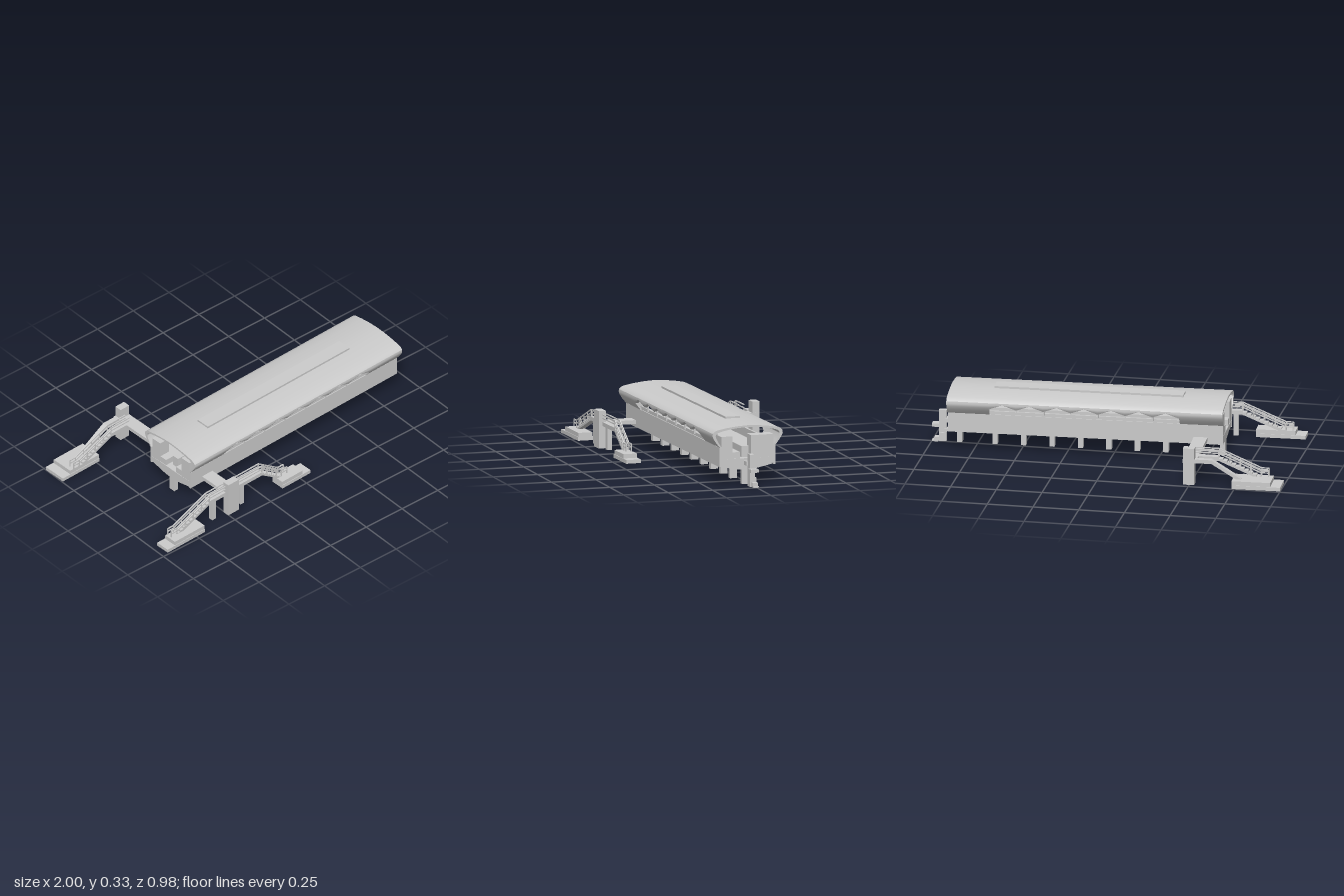
import * as THREE from 'three';
import { toCreasedNormals } from 'three/addons/utils/BufferGeometryUtils.js';

const mat = new THREE.MeshStandardMaterial({ color: 0xcccccc, side: THREE.DoubleSide });
const CX = 0.143, CZ = 0.056, HALF = 0.75; // hall centre and half length

function add(parent, name, geo) {
  const m = new THREE.Mesh(geo, mat);
  m.name = name;
  parent.add(m);
  return m;
}

// Box given by its extents
function box(parent, name, x0, x1, y0, y1, z0, z1) {
  const m = add(parent, name, new THREE.BoxGeometry(x1 - x0, y1 - y0, z1 - z0));
  m.position.set((x0 + x1) / 2, (y0 + y1) / 2, (z0 + z1) / 2);
  return m;
}

// Outline extruded along z between z0 and z1
function plate(parent, name, pts, z0, z1) {
  const shape = new THREE.Shape(pts.map(p => new THREE.Vector2(...p)));
  const geo = new THREE.ExtrudeGeometry(shape, { depth: z1 - z0, bevelEnabled: false });
  geo.translate(0, 0, z0);
  return add(parent, name, geo);
}

// Half roof profile clipped at height b, from the ridge to the eave
function clip(pts, b) {
  return pts.map(([z, y], i) => {
    if (y >= b) return [z, y];
    for (let k = 1; k <= i; k++) {
      const [z0, y0] = pts[k - 1], [z1, y1] = pts[k];
      if (y0 >= b && y1 < b) return [z0 + (z1 - z0) * (y0 - b) / (y0 - y1), b];
    }
    return [z, b];
  });
}

// Curved roof shell whose eaves are cut to a zigzag over the windows
function roofGeometry() {
  const outer = [[0, 0.325], [0.06, 0.322], [0.12, 0.315], [0.17, 0.306], [0.188, 0.299],
    [0.198, 0.288], [0.2, 0.275], [0.195, 0.26], [0.18, 0.237], [0.158, 0.21]];
  const inner = [[0, 0.315], [0.06, 0.312], [0.11, 0.305], [0.15, 0.297], [0.168, 0.291],
    [0.178, 0.284], [0.182, 0.273], [0.178, 0.26], [0.166, 0.237], [0.148, 0.21]];
  const cols = [[CX - HALF, 0.21], [-0.37, 0.21], [-0.37, 0.25]];
  for (let i = 0; i < 7; i++) {
    const x = -0.298 + i * 0.148;
    cols.push([x, 0.28], [x + 0.074, 0.25]);
  }
  cols.push([0.664, 0.21], [CX + HALF, 0.21]);
  const pos = [], idx = [];
  let n = 0;
  cols.forEach(([x, b], c) => {
    const o = clip(outer, b), q = clip(inner, b);
    const flip = a => a.map(([z, y]) => [-z, y]);
    const ring = [...flip(o).reverse(), ...o.slice(1), ...q.slice().reverse(), ...flip(q).slice(1)];
    n = ring.length;
    ring.forEach(([z, y]) => pos.push(x, y, z + CZ));
    if (c) for (let i = 0; i < n; i++) {
      const a = (c - 1) * n + i, d = (c - 1) * n + (i + 1) % n;
      idx.push(a, d, a + n, d, d + n, a + n);
    }
  });
  // end rims
  const h = n / 2, last = (cols.length - 1) * n;
  for (let i = 0; i < h - 1; i++) {
    const a = i, b = i + 1, c = n - 1 - i, d = n - 2 - i;
    idx.push(a, c, b, b, c, d);
    idx.push(last + a, last + b, last + c, last + b, last + d, last + c);
  }
  const g = new THREE.BufferGeometry();
  g.setAttribute('position', new THREE.Float32BufferAttribute(pos, 3));
  g.setIndex(idx);
  return toCreasedNormals(g, 0.5);
}

// Rail bar between two points in a plane of constant z
function bar(parent, name, [x0, y0], [x1, y1], z, t = 0.006) {
  const m = add(parent, name, new THREE.BoxGeometry(Math.hypot(x1 - x0, y1 - y0), t, t));
  m.position.set((x0 + x1) / 2, (y0 + y1) / 2, z);
  m.rotation.z = Math.atan2(y1 - y0, x1 - x0);
}

// Stepped flight from a top point down to a foot, with landings and railings
function stair(parent, name, top, foot, landing, z, w) {
  const g = new THREE.Group();
  g.name = name;
  const N = 10, dx = (foot[0] - top[0]) / N, dy = (foot[1] - top[1]) / N;
  const pts = [[landing, top[1]]];
  for (let i = 0; i < N; i++) {
    const x = top[0] + dx * i, y = top[1] + dy * i;
    pts.push([x, y], [x, y + dy]);
  }
  pts.push([...foot], [foot[0], foot[1] - 0.02], [top[0], top[1] - 0.022], [landing, top[1] - 0.022]);
  plate(g, 'steps', pts, z - w / 2, z + w / 2);
  const end = foot[0] + Math.sign(dx) * 0.04;
  for (const s of [-1, 1]) {
    const zz = z + s * (w / 2 - 0.003);
    for (const h of [0.02, 0.038]) {
      bar(g, 'rail', [landing, top[1] + h], [top[0], top[1] + h], zz);
      bar(g, 'rail', [top[0], top[1] + h], [foot[0], foot[1] + h], zz);
      bar(g, 'rail', [foot[0], foot[1] + h], [end, foot[1] + h], zz);
    }
    for (let i = 0; i <= 4; i++) {
      const x = top[0] + dx * i * 2.5, y = top[1] + dy * i * 2.5;
      bar(g, 'railPost', [x, y - 0.01], [x, y + 0.038], zz, 0.005);
    }
    bar(g, 'railPost', [end, foot[1] - 0.01], [end, foot[1] + 0.038], zz, 0.005);
  }
  parent.add(g);
}

// Two-level plinth at the foot of a stair; dir is the side with the low step
function plinth(parent, x0, x1, z0, z1, dir) {
  const low = 0.055;
  box(parent, 'stairPlinthStep', x0, x1, 0, 0.02, z0, z1);
  box(parent, 'stairPlinth', dir < 0 ? x0 + low : x0, dir < 0 ? x1 : x1 - low, 0.02, 0.043, z0 + 0.003, z1 - 0.003);
}

export function createModel() {
  const root = new THREE.Group();
  root.name = 'elevatedStation';
  const st = new THREE.Group();
  st.name = 'station';
  st.rotation.y = 0.04;
  root.add(st);
  const xa = CX - HALF, xb = CX + HALF;

  // Hall: deck, side walls and central kerb
  box(st, 'deck', xa + 0.005, xb - 0.005, 0.112, 0.145, CZ - 0.155, CZ + 0.155);
  for (const s of [-1, 1]) {
    const span = (a, b) => [CZ + Math.min(s * a, s * b), CZ + Math.max(s * a, s * b)];
    box(st, 'sideWall', xa + 0.003, xb - 0.003, 0.105, 0.212, ...span(0.148, 0.16));
    box(st, 'windowSill', -0.38, 0.67, 0.21, 0.23, ...span(0.143, 0.155));
    box(st, 'platform', xa + 0.008, xb - 0.008, 0.14, 0.18, ...span(0.04, 0.15));
    for (let i = 0; i < 6; i++) {
      const x = -0.224 + i * 0.148;
      box(st, 'windowMullion', x - 0.003, x + 0.003, 0.225, 0.256, ...span(0.165, 0.173));
    }
    // rooms at both ends of the platforms
    box(st, 'endRoom', xb - 0.07, xb - 0.006, 0.14, 0.268, ...span(s < 0 ? 0.02 : 0.085, 0.148));
    box(st, 'endRoom', xa + 0.006, xa + 0.07, 0.14, 0.268, ...span(0.085, 0.148));
  }
  box(st, 'centreKerb', xa + 0.04, xb - 0.04, 0.14, 0.205, CZ - 0.02, CZ + 0.02);

  // Roof and raised ridge panel
  add(st, 'roof', roofGeometry());
  box(st, 'ridgePanel', -0.37, 0.656, 0.317, 0.334, CZ - 0.041, CZ + 0.041);

  // Piers with tapered crossheads
  const head = new THREE.Shape([[-0.155, 0.113], [-0.155, 0.103], [-0.045, 0.08], [0.045, 0.08],
    [0.155, 0.103], [0.155, 0.113]].map(p => new THREE.Vector2(...p)));
  const headGeo = new THREE.ExtrudeGeometry(head, { depth: 0.028, bevelEnabled: false });
  headGeo.translate(0, 0, -0.014);
  headGeo.rotateY(Math.PI / 2);
  for (let i = 0; i < 10; i++) {
    const x = i < 9 ? -0.58 + i * 0.1545 : 0.848;
    add(st, 'crosshead', headGeo).position.set(x, 0, CZ);
    box(st, 'pier', x - 0.014, x + 0.014, 0, 0.085, CZ - 0.02, CZ + 0.02);
  }

  // Footbridges with lift towers
  box(st, 'frontBridge', -0.52, -0.445, 0.122, 0.143, CZ + 0.15, 0.425);
  box(st, 'backBridge', -0.52, -0.445, 0.122, 0.143, -0.49, CZ - 0.15);
  box(st, 'frontTower', -0.52, -0.445, 0, 0.204, 0.386, 0.427);
  box(st, 'backTower', -0.508, -0.446, 0, 0.204, -0.49, -0.448);

  // Front access: walkway with a stair at each end
  const fz = 0.388;
  stair(st, 'frontRightStair', [-0.635, 0.143], [-0.87, 0.045], -0.5, fz, 0.034);
  stair(st, 'frontLeftStair', [-0.255, 0.143], [-0.115, 0.045], -0.47, fz, 0.034);
  plinth(st, -0.98, -0.71, 0.366, 0.45, -1);
  plinth(st, -0.147, 0.055, 0.366, 0.448, 1);
  for (const x of [-0.6, -0.395]) box(st, 'walkwayPost', x - 0.013, x + 0.013, 0, 0.125, fz - 0.013, fz + 0.013);

  // Back access: stair and a narrower ramp beside it
  stair(st, 'backStair', [-0.63, 0.143], [-0.86, 0.045], -0.5, -0.405, 0.036);
  plate(st, 'backRamp', [[-0.5, 0.143], [-0.6, 0.143], [-0.76, 0.045], [-0.76, 0.025], [-0.6, 0.122], [-0.5, 0.122]],
    -0.485, -0.455);
  plinth(st, -0.98, -0.715, -0.525, -0.388, -1);

  // Small service stair at the far end
  box(st, 'servicePost', 0.92, 0.962, 0, 0.175, 0.04, 0.066);
  box(st, 'serviceLanding', 0.88, 0.925, 0.11, 0.132, 0.03, 0.075);
  box(st, 'serviceArm', 0.96, 0.998, 0.082, 0.1, 0.03, 0.075);
  plate(st, 'serviceStair', [[0.9, 0.075], [0.93, 0.075], [0.93, 0.05], [0.96, 0.05], [0.96, 0.025],
    [0.985, 0.025], [0.985, 0.008], [0.998, 0.008], [0.998, 0], [0.965, 0]], 0.03, 0.06);
  return root;
}
